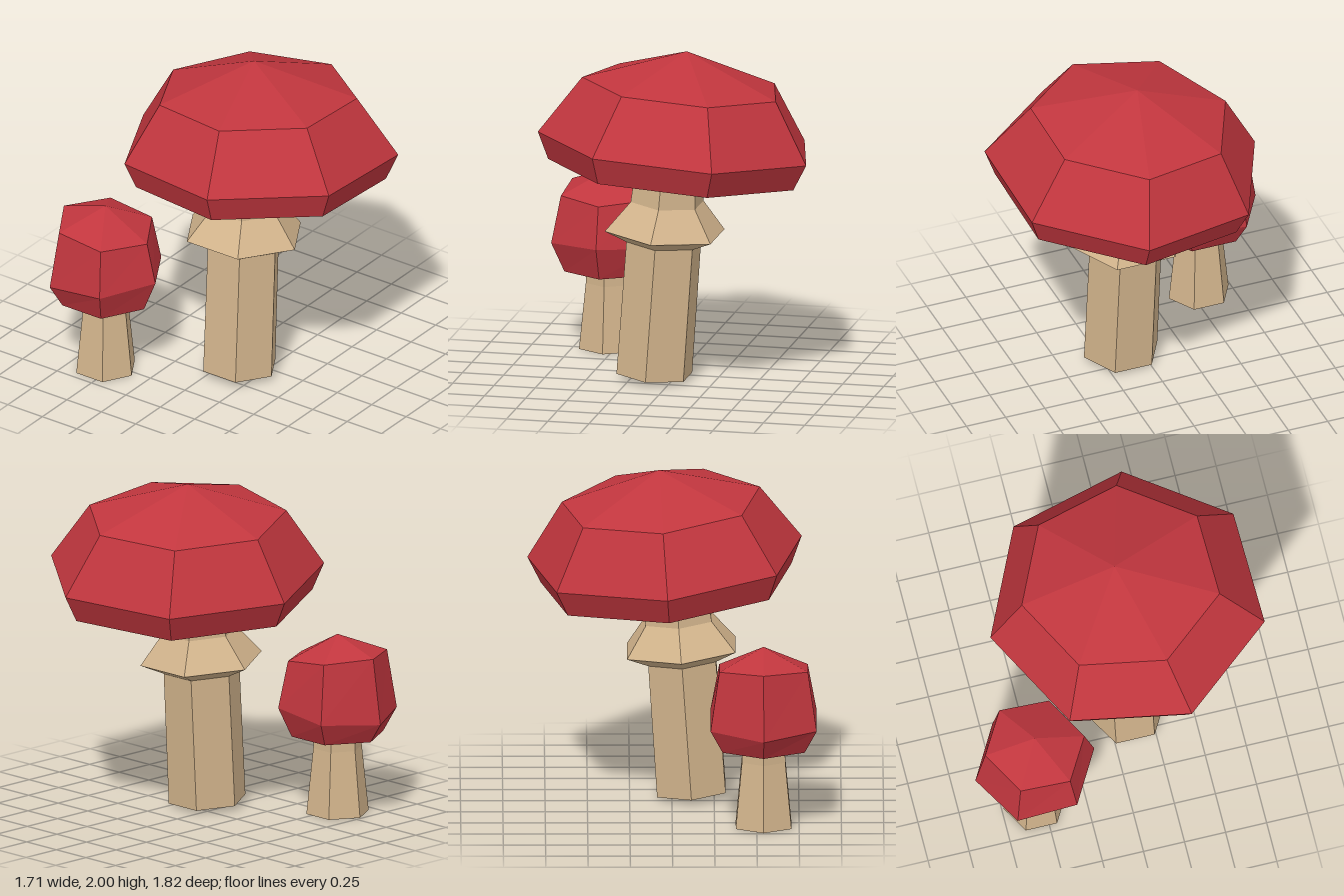
import * as THREE from 'three';

const material = (name, color) => {
  const m = new THREE.MeshStandardMaterial({ color, flatShading: true });
  m.name = name;
  return m;
};

// Skins a stack of polygon rings: { c: centre, r: radius, s: [slope along x, slope along z] }
function loft(rings, sides, turn = 0) {
  const point = ({ c, r, s = [0, 0] }, j) => {
    const a = turn + ((j % sides) / sides) * Math.PI * 2;
    const dx = r * Math.sin(a), dz = -r * Math.cos(a);
    return [c[0] + dx, c[1] + s[0] * dx + s[1] * dz, c[2] + dz];
  };
  const positions = [];
  for (let i = 0; i < rings.length - 1; i++) {
    const low = rings[i], high = rings[i + 1];
    for (let j = 0; j < sides; j++) {
      const a = point(low, j), b = point(low, j + 1);
      const c = point(high, j), d = point(high, j + 1);
      if (low.r > 0) positions.push(...a, ...c, ...b);
      if (high.r > 0) positions.push(...b, ...c, ...d);
    }
  }
  const geometry = new THREE.BufferGeometry();
  geometry.setAttribute('position', new THREE.Float32BufferAttribute(positions, 3));
  geometry.computeVertexNormals();
  return geometry;
}

// Stem, cap and underside of one mushroom; the underside closes the lowest cap ring
function mushroom(name, stemRings, capRings, capSides, capTurn, mats) {
  const group = new THREE.Group();
  group.name = name;
  const add = (part, geometry, mat) => {
    const mesh = new THREE.Mesh(geometry, mat);
    mesh.name = part;
    group.add(mesh);
  };
  const closed = [{ ...stemRings[0], r: 0 }, ...stemRings];
  add('stem', loft(closed, 6), mats.stem);
  add('cap', loft(capRings, capSides, capTurn), mats.cap);
  add('capUnderside', loft([{ ...capRings[0], r: 0 }, capRings[0]], capSides, capTurn), mats.gills);
  return group;
}

export function createModel() {
  const mats = {
    cap: material('cap red', 0xc1363e),
    stem: material('stem tan', 0xd2b48c),
    gills: material('gill beige', 0xcbb998),
  };
  const model = new THREE.Group();
  model.name = 'mushrooms';

  // Large leaning mushroom with a flared collar on its stem
  const lean = [-0.065, 0];
  const tilt = [-0.074, 0.061];
  model.add(mushroom('largeMushroom', [
    { c: [-0.115, 0.032, 0.12], r: 0.234, s: lean },
    { c: [-0.06, 0.838, 0.11], r: 0.231, s: lean },
    { c: [-0.055, 0.905, 0.11], r: 0.37, s: lean },
    { c: [-0.04, 1.083, 0.11], r: 0.225, s: lean },
    { c: [-0.022, 1.34, 0.11], r: 0.205, s: lean },
  ], [
    { c: [0.03, 1.295, 0.16], r: 0.76, s: tilt },
    { c: [0.04, 1.455, 0.154], r: 0.832, s: tilt },
    { c: [0.063, 1.8, 0.12], r: 0.6, s: tilt },
    { c: [0.075, 2, 0.09], r: 0 },
  ], 7, -0.016, mats));

  // Small upright mushroom behind it
  const x = -0.54, z = -0.548;
  model.add(mushroom('smallMushroom', [
    { c: [x, 0, z], r: 0.19 },
    { c: [x, 0.4, z], r: 0.148 },
    { c: [x, 0.5, z], r: 0.147 },
  ], [
    { c: [x, 0.48, z], r: 0.28 },
    { c: [x, 0.64, z], r: 0.362, s: [0, 0.11] },
    { c: [x, 0.96, z], r: 0.302, s: [0, -0.105] },
    { c: [x, 1.09, z], r: 0 },
  ], 6, 0, mats));

  return model;
}
